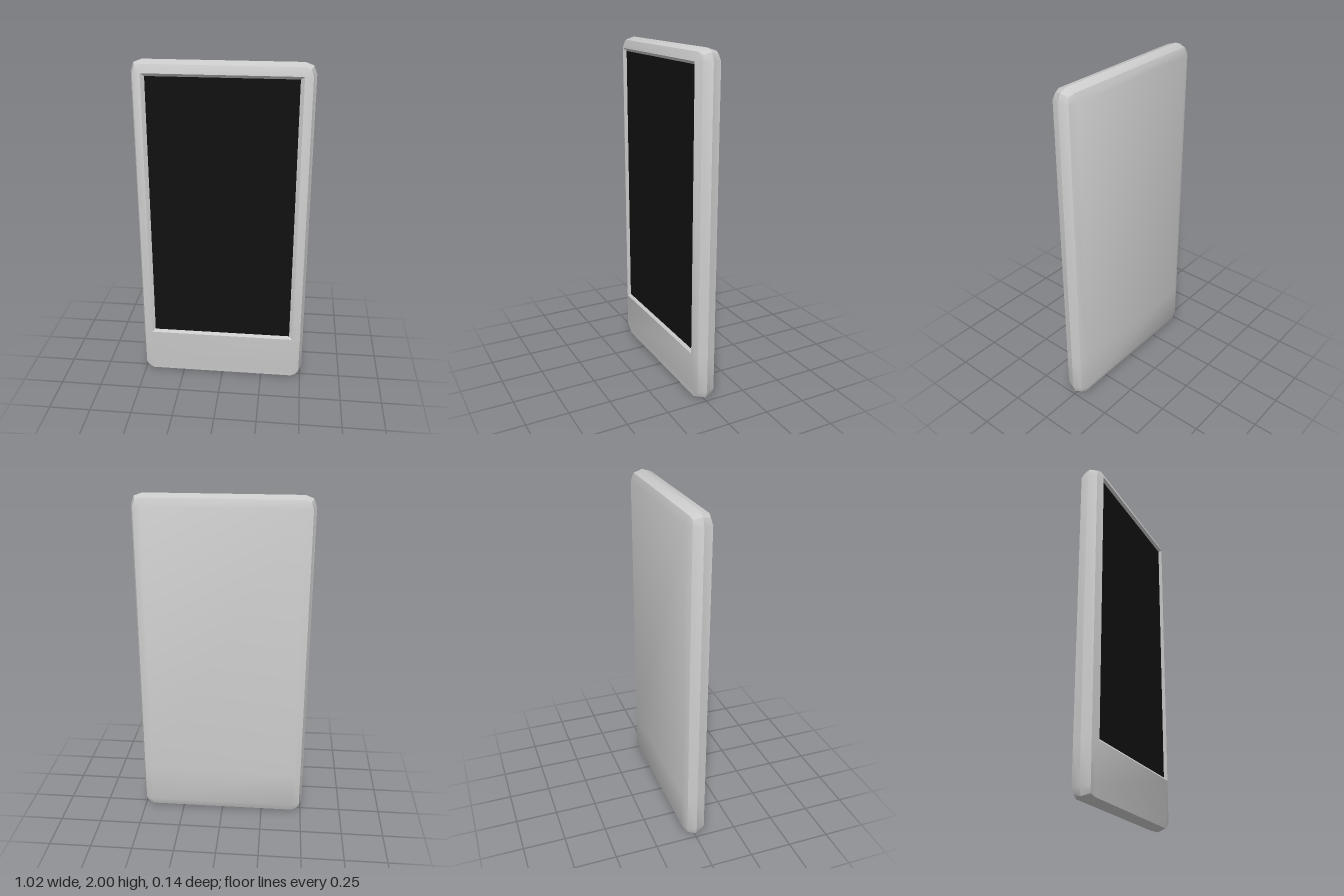
import * as THREE from 'three';
import { toCreasedNormals } from 'three/addons/utils/BufferGeometryUtils.js';

const CORE_X = 0.443, CORE_Y = 0.935, MID_Y = 1; // half size of the flat faces, and their centre height
const CHIN_Y = 0.3;                              // where the screen ends and the tapered chin begins

// One closed loop around the body, anticlockwise from the front.
// e: how far it reaches beyond the flat face, z: depth, zMid: depth of the corner points
function ring(e, z, zMid = z, zChin = z) {
  const pts = [];
  const corner = (sx, sy, flip) => {
    const x = sx * CORE_X, y = MID_Y + sy * CORE_Y, d = e * 0.73;
    const depth = sy < 0 ? zChin : z;
    const mid = sy < 0 && zChin !== z ? zChin : zMid;
    const c = [[x + sx * e, y, depth], [x + sx * d, y + sy * d, mid], [x, y + sy * e, depth]];
    pts.push(...(flip ? c.reverse() : c));
  };
  corner(1, -1, true);
  pts.push([CORE_X + e, CHIN_Y, z]);
  corner(1, 1, false);
  corner(-1, 1, true);
  pts.push([-CORE_X - e, CHIN_Y, z]);
  corner(-1, -1, false);
  return pts;
}

// Rectangle as four corners, anticlockwise from the front
const rect = (hw, y0, y1, z0, z1 = z0) => [[-hw, y0, z0], [hw, y0, z0], [hw, y1, z1], [-hw, y1, z1]];

function buildGeometry(addFaces) {
  const pos = [];
  const tri = (...t) => {
    const [a, b, c] = t.map((p) => new THREE.Vector3(...p));
    if (b.clone().sub(a).cross(c.clone().sub(a)).length() < 1e-8) return; // skip collapsed corners
    for (const p of t) pos.push(...p);
  };
  const quad = (a, b, c, d) => { tri(a, b, c); tri(a, c, d); };
  const bridge = (a, b) => a.forEach((p, i) => {
    const j = (i + 1) % a.length;
    quad(p, a[j], b[j], b[i]);
  });
  addFaces(quad, bridge);
  const geo = new THREE.BufferGeometry();
  geo.setAttribute('position', new THREE.Float32BufferAttribute(pos, 3));
  return toCreasedNormals(geo, 0.55);
}

export function createModel() {
  const model = new THREE.Group();
  model.name = 'handheldDevice';
  const y0 = MID_Y - CORE_Y, y1 = MID_Y + CORE_Y;
  const zFace = 0.072, zChin = 0.056, zScreen = 0.058;
  const add = (name, geometry, color) => {
    const mesh = new THREE.Mesh(geometry, new THREE.MeshStandardMaterial({ color }));
    mesh.name = name;
    model.add(mesh);
    return mesh;
  };

  // Casing: bevelled loops from back to front, flat back and sloping chin
  add('casing', buildGeometry((quad, bridge) => {
    const rings = [
      ring(0, -zFace), ring(0.047, -0.053, -0.045), ring(0.065, 0),
      ring(0.047, 0.053, 0.045), ring(0, zFace, zFace, zChin),
    ];
    for (let i = 0; i < rings.length - 1; i++) bridge(rings[i], rings[i + 1]);
    const [a, b, c, d] = rect(CORE_X, y0, y1, -zFace);
    const s = [CORE_X, CHIN_Y, -zFace], t = [-CORE_X, CHIN_Y, -zFace];
    quad(b, a, t, s);
    quad(s, t, d, c);
    quad(...rect(CORE_X, y0, CHIN_Y, zChin, zFace));
  }), 0xcccccc);

  // Screen surround: walls sloping from the rim down to the screen
  add('screenSurround', buildGeometry((quad, bridge) => {
    bridge(rect(CORE_X, CHIN_Y, y1, zFace), rect(0.422, 0.316, 1.918, zScreen));
  }), 0xcccccc);

  // Screen
  const screen = add('screen', new THREE.PlaneGeometry(0.844, 1.602), 0x111111);
  screen.position.set(0, 1.117, zScreen);

  return model;
}
